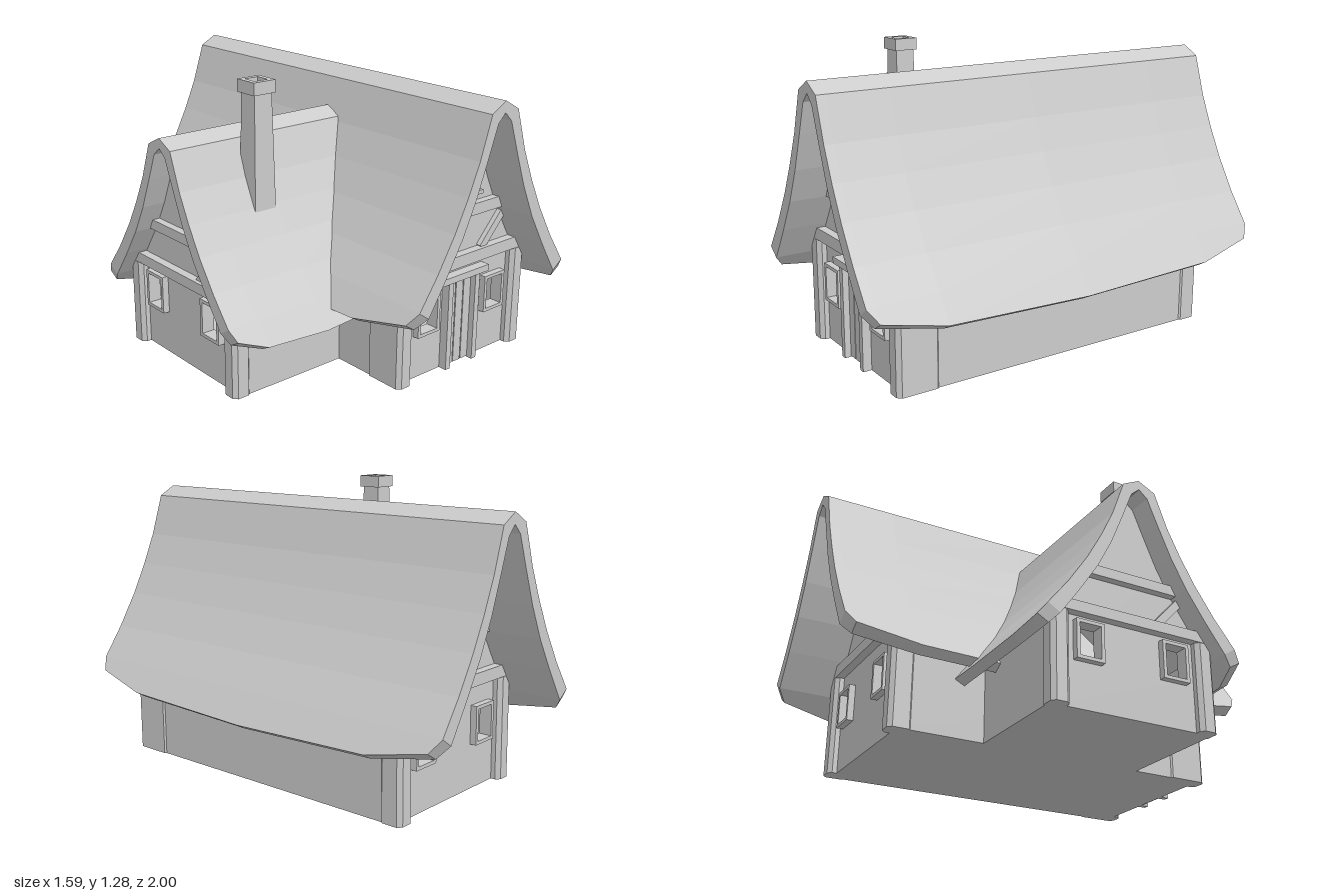
import * as THREE from 'three';

const material = new THREE.MeshStandardMaterial({ color: 0xcccccc, flatShading: true, side: THREE.DoubleSide });

// Half profile of the curved roof, ridge to eave: outer and inner skin
const OUTER = [[0, 1.23], [0.08, 1.185], [0.14, 1.0], [0.2, 0.86], [0.27, 0.72], [0.36, 0.57], [0.455, 0.434], [0.54, 0.305]];
const INNER = [[0, 1.18], [0.04, 1.14], [0.09, 1.0], [0.15, 0.84], [0.22, 0.69], [0.305, 0.545], [0.4, 0.395], [0.495, 0.28]];

function add(parent, name, geometry, x = 0, y = 0, z = 0) {
  const mesh = new THREE.Mesh(geometry, material);
  mesh.name = name;
  mesh.position.set(x, y, z);
  parent.add(mesh);
  return mesh;
}

// Box given by its limits
function box(parent, name, x0, x1, y0, y1, z0, z1) {
  return add(parent, name, new THREE.BoxGeometry(x1 - x0, y1 - y0, z1 - z0), (x0 + x1) / 2, (y0 + y1) / 2, (z0 + z1) / 2);
}

function polygon(points, PathType = THREE.Shape) {
  return new PathType(points.map(([x, y]) => new THREE.Vector2(x, y)));
}

const rect = (x0, x1, y0, y1) => [[x0, y0], [x1, y0], [x1, y1], [x0, y1]];

function extrude(shape, depth) {
  return new THREE.ExtrudeGeometry(shape, { depth, bevelEnabled: false, curveSegments: 6 });
}

// Frame with a hole, standing on the xy plane
function frame(parent, name, outer, inner, depth, z) {
  const shape = polygon(outer);
  shape.holes.push(polygon(inner, THREE.Path));
  return add(parent, name, extrude(shape, depth), 0, 0, z);
}

// Corner post with chamfered edges
function post(parent, x0, x1, z0, z1, height) {
  const c = 0.018;
  const shape = polygon([[x0 + c, -z1], [x1 - c, -z1], [x1, -z1 + c], [x1, -z0 - c],
    [x1 - c, -z0], [x0 + c, -z0], [x0, -z0 - c], [x0, -z1 + c]]);
  add(parent, 'cornerPost', extrude(shape, height)).rotation.x = -Math.PI / 2;
}

// Thick roof lofted along z; the eave is shortened towards both ends
function roofGeometry(stations, fitY) {
  const n = OUTER.length * 2 - 1;
  const skin = (half, t) => {
    const [a, b] = half.slice(-2);
    const pts = [...half.slice(0, -1), [a[0] + (b[0] - a[0]) * t, a[1] + (b[1] - a[1]) * t]];
    return [...pts.slice(1).reverse().map(([x, y]) => [-x, y]), ...pts];
  };
  const rings = stations.map(([z, t]) =>
    [...skin(OUTER, t), ...skin(INNER, t).reverse()].map(([x, y]) => [x, fitY(y), z]));
  const pos = [];
  const quad = (a, b, c, d) => pos.push(...a, ...b, ...c, ...a, ...c, ...d);
  for (let k = 0; k < rings.length - 1; k++) {
    const r = rings[k], s = rings[k + 1];
    for (let i = 0; i < 2 * n; i++) {
      const j = (i + 1) % (2 * n);
      quad(r[i], s[i], s[j], r[j]);
    }
  }
  const back = rings[0], front = rings[rings.length - 1];
  for (let i = 0; i < n - 1; i++) {
    const p = 2 * n - 1 - i;
    quad(front[i], front[p], front[p - 1], front[i + 1]);
    quad(back[i], back[i + 1], back[p - 1], back[p]);
  }
  const geometry = new THREE.BufferGeometry();
  geometry.setAttribute('position', new THREE.Float32BufferAttribute(pos, 3));
  geometry.computeVertexNormals();
  return geometry;
}

// Gable wall with two windows and timber beams, outside facing +z
function gable(name, fitY, brace) {
  const group = new THREE.Group();
  group.name = name;
  const mid = OUTER.slice(0, 6).map(([x, y], i) => [(x + INNER[i][0]) / 2, fitY((y + INNER[i][1]) / 2)]);
  const right = [[0.385, 0], [0.385, fitY(0.45)], ...mid.slice(1).reverse()];
  const wall = polygon([...right, mid[0], ...right.map(([x, y]) => [-x, y]).reverse()]);
  for (const x of [-0.212, 0.208]) {
    const hole = rect(x - 0.05, x + 0.05, 0.217, 0.36);
    wall.holes.push(polygon(hole, THREE.Path));
    frame(group, 'windowFrame', rect(x - 0.066, x + 0.066, 0.202, 0.375), hole, 0.05, -0.02);
  }
  add(group, 'gableWall', extrude(wall, 0.03), 0, 0, -0.03);
  box(group, 'lowerBeam', -0.355, 0.355, fitY(0.47), fitY(0.525), -0.01, 0.04);
  box(group, 'upperBeam', -0.235, 0.235, fitY(0.69), fitY(0.742), -0.01, 0.035);
  if (brace) {
    const b = box(group, 'diagonalBrace', -0.1, 0.1, -0.018, 0.018, -0.01, 0.025);
    b.position.set(0.185, fitY(0.592), 0.005);
    b.rotation.z = 0.82;
  }
  return group;
}

// House section with its ridge along z
function section(name, stations, fitY, zFront, zBack, frontPost) {
  const group = new THREE.Group();
  group.name = name;
  add(group, 'roof', roofGeometry(stations, fitY));
  const front = gable('frontGable', fitY, true);
  front.position.z = zFront;
  group.add(front);
  for (const s of [-1, 1]) {
    const x = s * 0.375;
    box(group, 'sideWall', x - 0.015, x + 0.015, 0, fitY(0.42), zBack, zFront);
    const [a, b] = s > 0 ? [0.312, 0.397] : [-0.397, -0.312];
    post(group, a, b, zFront + 0.04 - frontPost, zFront + 0.04, fitY(0.468));
  }
  box(group, 'floor', -0.388, 0.388, 0, 0.012, zBack, zFront);
  return group;
}

const archPoints = (half, y0, y1) => {
  const pts = [[-half, y0], [half, y0]];
  for (let i = 0; i <= 8; i++) {
    const a = (i / 8) * Math.PI;
    pts.push([half * Math.cos(a), y1 - half * 0.8 + half * 0.8 * Math.sin(a)]);
  }
  return pts;
};

export function createModel() {
  const model = new THREE.Group();
  model.name = 'cottage';

  // Main house
  const main = section('mainHouse',
    [[-1, 0.02], [-0.96, 0.45], [-0.68, 0.87], [0, 1], [0.68, 0.87], [0.96, 0.45], [1, 0.02]],
    (y) => y, 0.8, -0.72, 0.2);
  main.position.x = 0.247;
  model.add(main);
  const back = gable('backGable', (y) => y, false);
  back.rotation.y = Math.PI;
  back.position.z = -0.72;
  main.add(back);
  post(main, 0.312, 0.397, -0.76, -0.65, 0.468);
  post(main, -0.397, -0.312, -0.76, -0.65, 0.468);

  // Door with frame and planks
  const door = new THREE.Group();
  door.name = 'door';
  door.position.set(-0.006, 0, 0.8);
  main.add(door);
  box(door, 'lintel', -0.15, 0.15, 0.41, 0.44, -0.01, 0.045);
  for (const s of [-1, 1]) box(door, 'doorPost', s * 0.085 - 0.014, s * 0.085 + 0.014, 0, 0.41, -0.01, 0.04);
  for (const x of [-0.049, 0, 0.049]) box(door, 'plank', x - 0.022, x + 0.022, 0.005, 0.41, -0.01, 0.012);

  // Arched attic window
  const attic = new THREE.Group();
  attic.name = 'atticWindow';
  attic.position.set(-0.012, 0, 0.8);
  main.add(attic);
  frame(attic, 'archFrame', archPoints(0.08, 0.787, 0.985), archPoints(0.054, 0.802, 0.965), 0.035, 0);
  box(attic, 'sill', -0.098, 0.09, 0.785, 0.802, 0, 0.045);
  for (const x of [-0.025, 0, 0.025]) box(attic, 'bar', x - 0.006, x + 0.006, 0.8, 0.955, 0, 0.018);

  // Side wing, lower and turned to face -x
  const wing = section('sideWing',
    [[-0.46, 0.02], [-0.44, 0.45], [-0.31, 0.87], [0, 1], [0.31, 0.87], [0.44, 0.45], [0.46, 0.02]],
    (y) => 0.255 + (y - 0.305) * 0.872, 0.35, -0.43, 0.09);
  wing.rotation.y = -Math.PI / 2;
  wing.position.set(-0.34, 0, 0.065);
  model.add(wing);

  // Chimney with hollow cap
  const chimney = new THREE.Group();
  chimney.name = 'chimney';
  chimney.position.set(-0.412, 0, 0.22);
  model.add(chimney);
  const shaft = new THREE.CylinderGeometry(0.045 * Math.SQRT2, 0.056 * Math.SQRT2, 0.54, 4, 1, true);
  add(chimney, 'shaft', shaft, 0, 0.96, 0).rotation.y = Math.PI / 4;
  box(chimney, 'flueFloor', -0.045, 0.045, 1.2, 1.21, -0.045, 0.045);
  const cap = frame(chimney, 'cap', rect(-0.057, 0.057, -0.057, 0.057), rect(-0.033, 0.033, -0.033, 0.033), 0.055, 0);
  cap.rotation.x = -Math.PI / 2;
  cap.position.y = 1.225;

  return model;
}
